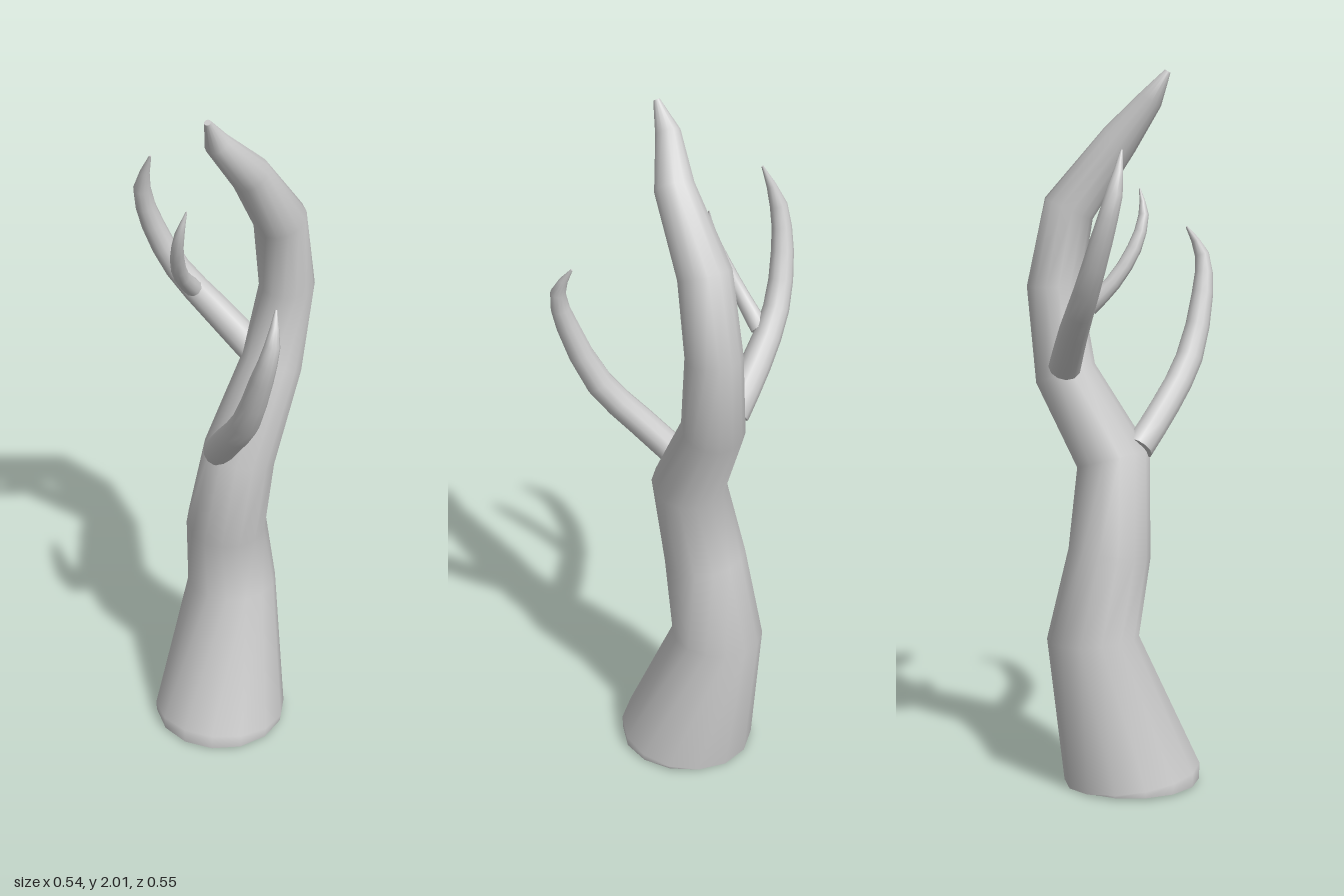
import * as THREE from 'three';

const material = new THREE.MeshStandardMaterial({ color: 0xcccccc });

// Tapered limb: stations are [x, y, z, radius]; "smooth" adds rings along a spline.
function limb(name, stations, sides, smooth = 1, startDir = null) {
  const pts = stations.map(s => new THREE.Vector3(s[0], s[1], s[2]));
  const curve = new THREE.CatmullRomCurve3(pts, false, 'centripetal');
  const rings = (pts.length - 1) * smooth;
  const centres = [], radii = [];
  for (let i = 0; i <= rings; i++) {
    const k = Math.min(Math.floor(i / smooth), pts.length - 2);
    const f = i / smooth - k;
    centres.push(curve.getPoint(i / rings));
    radii.push(THREE.MathUtils.lerp(stations[k][3], stations[k + 1][3], f));
  }

  const pos = [], idx = [];
  const normal = new THREE.Vector3(1, 0, 0);
  for (let i = 0; i <= rings; i++) {
    // Ring plane bisects the neighbouring segments; the normal is carried along
    const a = centres[Math.max(i - 1, 0)], b = centres[Math.min(i + 1, rings)], c = centres[i];
    const t = c.clone().sub(a).normalize().add(b.clone().sub(c).normalize()).normalize();
    if (i === 0 && startDir) t.copy(startDir);
    normal.addScaledVector(t, -normal.dot(t)).normalize();
    const side = new THREE.Vector3().crossVectors(t, normal);
    for (let j = 0; j < sides; j++) {
      const ang = j / sides * Math.PI * 2;
      const p = c.clone()
        .addScaledVector(normal, Math.cos(ang) * radii[i])
        .addScaledVector(side, Math.sin(ang) * radii[i]);
      pos.push(p.x, p.y, p.z);
    }
  }
  for (let i = 0; i < rings; i++) {
    for (let j = 0; j < sides; j++) {
      const p = i * sides + j, q = i * sides + (j + 1) % sides;
      idx.push(p, q, q + sides, p, q + sides, p + sides);
    }
  }
  // Flat end caps with their own vertices
  for (const ring of [0, rings]) {
    const start = pos.length / 3;
    for (let j = 0; j < sides; j++) {
      const o = (ring * sides + j) * 3;
      pos.push(pos[o], pos[o + 1], pos[o + 2]);
    }
    for (let j = 1; j < sides - 1; j++) {
      if (ring === 0) idx.push(start, start + j + 1, start + j);
      else idx.push(start, start + j, start + j + 1);
    }
  }

  const geo = new THREE.BufferGeometry();
  geo.setAttribute('position', new THREE.Float32BufferAttribute(pos, 3));
  geo.setIndex(idx);
  geo.computeVertexNormals();
  const mesh = new THREE.Mesh(geo, material);
  mesh.name = name;
  return mesh;
}

export function createModel() {
  const tree = new THREE.Group();
  tree.name = 'bareTree';

  // Bent trunk, flared at the foot and hooked forward at the top
  tree.add(limb('trunk', [
    [0.02, 0, 0, 0.192],
    [0.02, 0.02, 0, 0.195],
    [0.015, 0.42, -0.113, 0.13],
    [0.015, 0.66, -0.065, 0.116],
    [0.06, 0.92, -0.045, 0.105],
    [0.11, 1.16, -0.172, 0.087],
    [0.14, 1.4, -0.198, 0.077],
    [0.13, 1.62, -0.157, 0.073],
    [0.09, 1.81, -0.02, 0.054],
    [0.028, 1.92, 0.055, 0.034],
    [0.02, 1.995, 0.1, 0.009],
  ], 14, 1, new THREE.Vector3(0, 1, 0)));

  // Lower branch reaching forward to the left
  tree.add(limb('frontBranch', [
    [0.02, 0.955, 0.02, 0.042],
    [0.085, 1.065, 0.11, 0.041],
    [0.16, 1.19, 0.195, 0.039],
    [0.222, 1.37, 0.248, 0.031],
    [0.25, 1.48, 0.252, 0.021],
    [0.243, 1.56, 0.205, 0.003],
  ], 12, 2));

  // Upper branch reaching to the right
  tree.add(limb('sideBranch', [
    [0.045, 1.185, -0.185, 0.046],
    [-0.06, 1.29, -0.178, 0.042],
    [-0.165, 1.41, -0.16, 0.036],
    [-0.225, 1.55, -0.13, 0.031],
    [-0.242, 1.67, -0.1, 0.024],
    [-0.205, 1.785, -0.072, 0.003],
  ], 12, 2));

  // Small twig growing forward from the upper branch
  tree.add(limb('twig', [
    [-0.115, 1.365, -0.145, 0.026],
    [-0.122, 1.43, -0.08, 0.022],
    [-0.112, 1.52, -0.02, 0.02],
    [-0.093, 1.61, 0.01, 0.014],
    [-0.075, 1.68, 0.003, 0.002],
  ], 10, 2));

  return tree;
}
